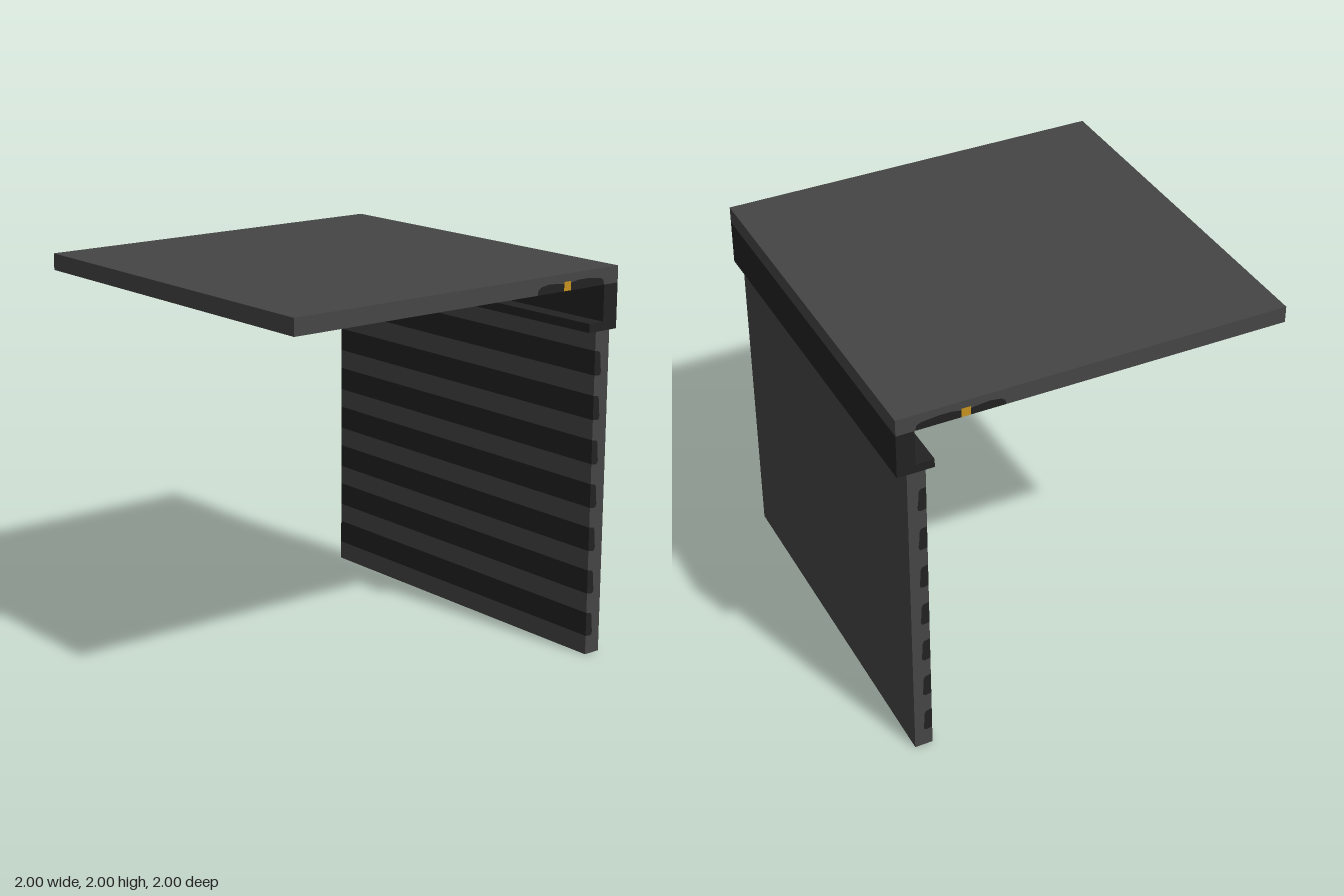
import * as THREE from 'three';

const mat = (name, color) => {
  const m = new THREE.MeshStandardMaterial({ color });
  m.name = name;
  return m;
};

export function createModel() {
  const grey = mat('concreteGrey', 0x454545);
  const dark = mat('darkGrey', 0x222222);
  const gold = mat('amber', 0xc8921f);
  const group = new THREE.Group();

  // Every part is a cross-section (counter-clockwise in x, y) swept along z
  const addPart = (name, points, material) => {
    const shape = new THREE.Shape(points.map(([x, y]) => new THREE.Vector2(x, y)));
    const geometry = new THREE.ExtrudeGeometry(shape, { depth: 2, bevelEnabled: false });
    geometry.translate(0, 0, -1);
    const mesh = new THREE.Mesh(geometry, material);
    mesh.name = name;
    group.add(mesh);
  };

  // Roof inlay: two dark pads either side of an amber light strip, flush below
  const roofY = 1.915;
  const leftTop = [[0.46, roofY], [0.465, 1.94], [0.485, 1.953], [0.54, 1.961], [0.6, 1.955], [0.635, 1.95]];
  const stripTop = [[0.635, 1.961], [0.68, 1.961]];
  const rightTop = [[0.68, 1.952], [0.73, 1.961], [0.79, 1.961], [0.88, 1.952], [0.9, 1.94], [0.905, roofY]];
  addPart('innerRoofPad', [[0.635, roofY], ...[...leftTop].reverse()], dark);
  addPart('lightStrip', [[0.635, roofY], [0.68, roofY], ...[...stripTop].reverse()], gold);
  addPart('outerRoofPad', [[0.68, roofY], ...[...rightTop].reverse()], dark);

  // Roof slab, notched to receive the inlay
  addPart('roofSlab', [[-1, roofY], ...leftTop, ...stripTop, ...rightTop, [1, roofY], [1, 2], [-1, 2]], grey);

  // L-shaped bracket under the roof edge
  addPart('bracket', [[0.815, 1.685], [1, 1.685], [1, roofY], [0.908, roofY], [0.908, 1.73], [0.815, 1.73]], dark);

  // Wall with seven horizontal grooves filled by dark strips on its inner face
  const x0 = 0.86;
  const groove = [[0, 0.1], [0.03, 0.095], [0.041, 0.1], [0.045, 0.115], [0.04, 0.155], [0.039, 0.2], [0.031, 0.218], [0, 0.224]];
  const innerEdge = [];
  for (let i = 0; i < 7; i++) {
    const points = groove.map(([x, y]) => [x0 + x, y + i * 0.2275]);
    addPart('wallStrip' + (i + 1), points, dark);
    innerEdge.push(...points);
  }
  addPart('wall', [[x0, 0], [0.953, 0], [0.953, 1.685], [x0, 1.685], ...innerEdge.reverse()], grey);

  return group;
}
